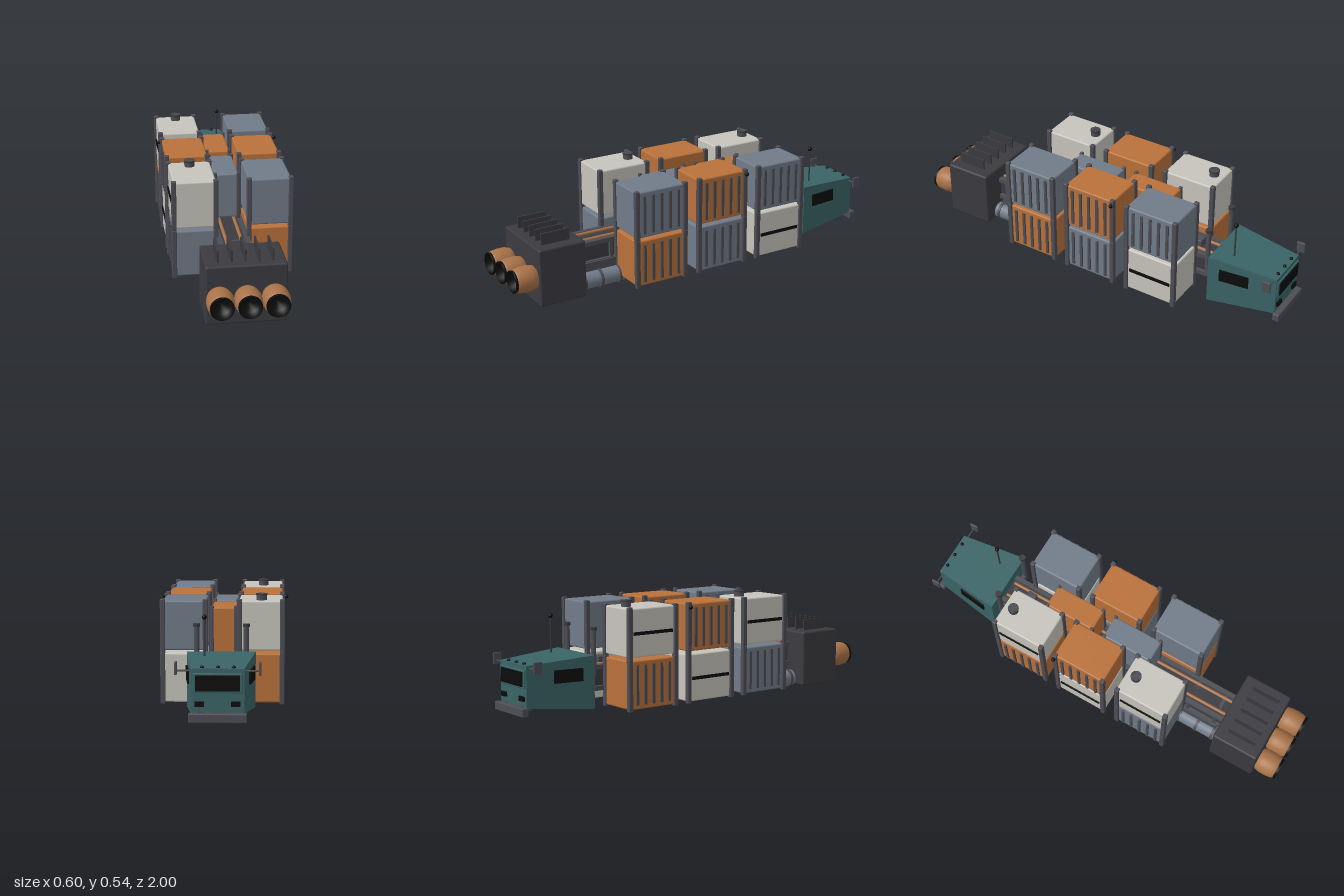
import * as THREE from 'three';
import { RoundedBoxGeometry } from 'three/addons/geometries/RoundedBoxGeometry.js';

const paint = (color) => new THREE.MeshStandardMaterial({ color });
const M = {
  slate: paint(0x717b89), orange: paint(0xb9713a), white: paint(0xc6c4bb), copper: paint(0xa87248),
  frame: paint(0x4d4d55), dark: paint(0x3b3a40), black: paint(0x0c0c0c), teal: paint(0x3a6467),
};

function add(parent, name, geometry, material, x = 0, y = 0, z = 0) {
  const mesh = new THREE.Mesh(geometry, material);
  mesh.name = name;
  mesh.position.set(x, y, z);
  parent.add(mesh);
  return mesh;
}
const box = (w, h, d) => new THREE.BoxGeometry(w, h, d);
const round = (w, h, d, r) => new RoundedBoxGeometry(w, h, d, 2, r);
const rod = (r, h, n = 16) => new THREE.CylinderGeometry(r, r, h, n);
const group = (parent, name) => {
  const g = new THREE.Group();
  g.name = name;
  parent.add(g);
  return g;
};

// Container with corner posts, centred on its own origin; side = outward x direction, 0 for none
function container(parent, name, kind, side, w, h, d, x, y, z) {
  const g = group(parent, name);
  g.position.set(x, y, z);
  add(g, 'containerBody', round(w, h, d, 0.008), M[kind]);
  const post = w > 0.15 ? 0.023 : 0.017;
  for (const sx of [-1, 1]) for (const sz of [-1, 1]) {
    add(g, 'cornerPost', round(post, h + 0.016, post, 0.004), M.frame, sx * (w / 2 - 0.002), 0, sz * (d / 2 - 0.005));
  }
  if (!side) return g;
  if (kind === 'white') {
    add(g, 'stripe', box(0.008, 0.015, d * 0.82), M.black, side * (w / 2 + 0.002), -0.002, 0);
  } else {
    for (let i = -2; i <= 2; i++) {
      add(g, 'rib', box(0.012, h * 0.82, 0.013), M.frame, side * (w / 2 + 0.002), 0, i * 0.046);
    }
  }
  return g;
}

function cargo(root) {
  const g = group(root, 'cargo');
  // Per station, front to back: [left lower, left upper, right lower, right upper]
  const stations = [
    [0.294, ['orange', 'slate', 'slate', 'white']],
    [-0.047, ['slate', 'orange', 'white', 'orange']],
    [-0.387, ['white', 'slate', 'orange', 'white']],
  ];
  for (const [z, kinds] of stations) {
    kinds.forEach((kind, i) => {
      const side = i < 2 ? 1 : -1;
      const upper = i % 2;
      container(g, upper ? 'upperContainer' : 'lowerContainer', kind, side, 0.2, 0.228, 0.27,
        side * 0.176, upper ? 0.398 : 0.156, z);
      if (upper && kind === 'white') {
        add(g, 'vent', rod(0.024, 0.034, 24), M.frame, -0.178, 0.525, z - 0.082);
        add(g, 'ventCap', rod(0.026, 0.008, 24), M.dark, -0.178, 0.538, z - 0.082);
      }
    });
    for (const s of [-1, 1]) add(g, 'hanger', box(0.03, 0.05, 0.2), M.frame, s * 0.078, 0.17, z);
  }
  container(g, 'centreContainerFront', 'slate', 0, 0.116, 0.222, 0.26, 0, 0.352, 0.09);
  container(g, 'centreContainerBack', 'orange', 0, 0.116, 0.222, 0.26, 0, 0.352, -0.23);
  for (const s of [-1, 1]) add(g, 'sideLamp', new THREE.SphereGeometry(0.01, 16, 10), M.black, s * 0.292, 0.496, -0.178);
}

function spine(root) {
  const g = group(root, 'spine');
  add(g, 'spineCore', box(0.12, 0.1, 1.3), M.dark, 0, 0.172, 0.01);
  for (const s of [-1, 1]) {
    for (const y of [0.122, 0.222]) add(g, 'spineRail', box(0.024, 0.022, 1.3), M.frame, s * 0.065, y, 0.01);
    add(g, 'pipe', rod(0.008, 1.26, 12).rotateX(Math.PI / 2), M.copper, s * 0.036, 0.23, 0.01);
  }
  for (let i = 0; i < 9; i++) add(g, 'crossRib', box(0.15, 0.1, 0.016), M.frame, 0, 0.172, 0.6 - i * 0.148);
  add(g, 'junctionBox', round(0.055, 0.04, 0.05, 0.005), M.frame, 0, 0.245, -0.5);
}

function engine(root) {
  const g = group(root, 'engine');
  add(g, 'engineBlock', round(0.365, 0.282, 0.24, 0.01), M.dark, 0, 0.154, 0.765);
  for (let i = -2; i <= 2; i++) add(g, 'coolingFin', box(0.008, 0.07, 0.145), M.dark, i * 0.0615, 0.316, 0.772);
  // Bell nozzle, lathed from mount to lip and back inside
  const bell = [[0.045, 0], [0.056, 0.01], [0.062, 0.035], [0.062, 0.07], [0.058, 0.1], [0.053, 0.108]]
    .map(([r, y]) => new THREE.Vector2(r, y));
  const lip = [[0.053, 0.106], [0.054, 0.12], [0.05, 0.12], [0.046, 0.075], [0.0, 0.06]]
    .map(([r, y]) => new THREE.Vector2(r, y));
  for (let i = -1; i <= 1; i++) {
    const n = group(g, 'nozzle');
    n.position.set(i * 0.123, 0.147, 0.88);
    n.rotation.x = Math.PI / 2;
    add(n, 'nozzleBell', new THREE.LatheGeometry(bell, 40), M.copper);
    add(n, 'nozzleThroat', new THREE.LatheGeometry(lip, 40), M.black);
  }
  // Fuel tanks slung under the spine
  for (const s of [-1, 1]) {
    const t = group(g, 'fuelTank');
    t.position.set(s * 0.087, 0.046, 0.53);
    t.rotation.x = Math.PI / 2;
    add(t, 'tankBody', rod(0.041, 0.23, 28), M.slate);
    const dome = add(t, 'tankDome', new THREE.SphereGeometry(0.041, 28, 10, 0, Math.PI * 2, 0, Math.PI / 2), M.slate, 0, -0.115, 0);
    dome.rotation.x = Math.PI;
    for (const y of [-0.1, 0, 0.09]) add(t, 'tankBand', rod(0.045, 0.014, 28), M.frame, 0, y, 0);
    add(g, 'tankBracket', box(0.03, 0.06, 0.24), M.frame, s * 0.07, 0.1, 0.5);
  }
}

function cab(root) {
  const g = group(root, 'cab');
  const zBack = -0.632, zNose = -0.97;
  // Box tapered toward the nose
  const hull = box(1, 1, 1);
  const p = hull.attributes.position;
  for (let i = 0; i < p.count; i++) {
    const nose = p.getZ(i) < 0;
    const y = p.getY(i) > 0 ? (nose ? 0.274 : 0.296) : (nose ? 0.08 : 0.044);
    p.setXYZ(i, p.getX(i) * (nose ? 0.228 : 0.31), y, nose ? zNose : zBack);
  }
  hull.computeVertexNormals();
  add(g, 'cabHull', hull, M.teal);
  add(g, 'windshieldFrame', round(0.215, 0.085, 0.01, 0.004), M.teal, 0, 0.212, zNose - 0.003);
  add(g, 'windshield', box(0.19, 0.068, 0.014), M.black, 0, 0.212, zNose - 0.005);
  add(g, 'bumper', round(0.25, 0.04, 0.034, 0.005), M.frame, 0, 0.064, -0.983);
  for (const s of [-1, 1]) {
    add(g, 'bumperMount', box(0.03, 0.025, 0.05), M.frame, s * 0.07, 0.075, -0.95);
    add(g, 'headlight', box(0.04, 0.022, 0.014), M.black, s * 0.078, 0.122, zNose - 0.003);
    const win = add(g, 'sideWindow', box(0.014, 0.06, 0.145), M.black, s * 0.14, 0.213, -0.763);
    win.rotation.y = s * Math.atan(0.041 / 0.338);
    add(g, 'mirrorArm', rod(0.004, 0.08, 8).rotateZ(Math.PI / 2), M.frame, s * 0.145, 0.262, -0.953);
    add(g, 'mirror', round(0.01, 0.055, 0.042, 0.003), M.frame, s * 0.18, 0.272, -0.95);
    // Exhaust stacks behind the cab
    add(g, 'exhaustStack', rod(0.012, 0.22, 16), M.frame, s * 0.112, 0.3, -0.607);
    add(g, 'exhaustCap', rod(0.016, 0.014, 16), M.dark, s * 0.112, 0.412, -0.607);
    add(g, 'exhaustBracket', box(0.06, 0.02, 0.02), M.frame, s * 0.085, 0.2, -0.607);
  }
  for (let i = -1; i <= 1; i++) add(g, 'markerLight', new THREE.SphereGeometry(0.009, 12, 8), M.black, i * 0.068, 0.276, -0.953);
  add(g, 'antenna', rod(0.004, 0.175, 8), M.dark, 0.07, 0.375, -0.725);
  add(g, 'antennaTip', new THREE.SphereGeometry(0.011, 16, 10), M.black, 0.07, 0.463, -0.725);
}

export function createModel() {
  const root = new THREE.Group();
  root.name = 'cargoHauler';
  spine(root);
  cargo(root);
  engine(root);
  cab(root);
  return root;
}
